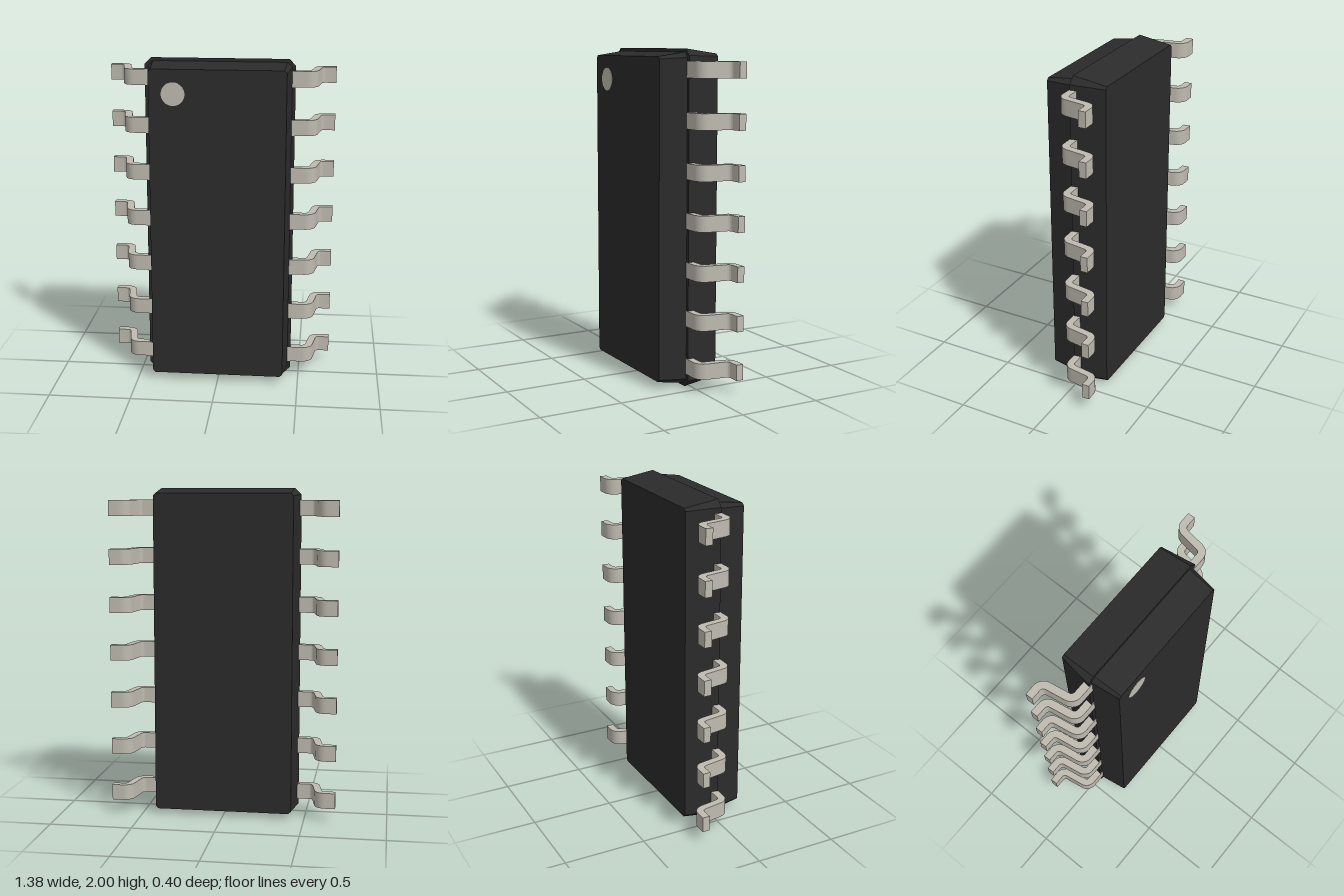
import * as THREE from 'three';
import { toCreasedNormals } from 'three/addons/utils/BufferGeometryUtils.js';

// Rectangle with clipped corners, counter-clockwise seen from +z
function clippedRect(hx, hy, c, z) {
  return [
    [hx, -hy + c], [hx, hy - c], [hx - c, hy], [-hx + c, hy],
    [-hx, hy - c], [-hx, -hy + c], [-hx + c, -hy], [hx - c, -hy],
  ].map(([x, y]) => new THREE.Vector3(x, y + 1, z));
}

// Closed, flat-shaded solid through rings ordered from back to front
function loft(rings) {
  const points = [];
  const n = rings[0].length;
  for (let r = 0; r < rings.length - 1; r++) {
    const lo = rings[r], hi = rings[r + 1];
    for (let i = 0; i < n; i++) {
      const j = (i + 1) % n;
      points.push(lo[i], lo[j], hi[j], lo[i], hi[j], hi[i]);
    }
  }
  const back = rings[0], front = rings[rings.length - 1];
  for (let i = 1; i < n - 1; i++) {
    points.push(back[0], back[i + 1], back[i], front[0], front[i], front[i + 1]);
  }
  const geometry = new THREE.BufferGeometry().setFromPoints(points);
  geometry.computeVertexNormals();
  return geometry;
}

// Bent strip: centre line in the x-z plane with rounded corners, thickened and extruded
function leadGeometry(thickness, width) {
  const path = [[0.4, 0.012], [0.557, 0.012], [0.589, -0.18], [0.69, -0.18]]
    .map(([x, z]) => new THREE.Vector2(x, z));
  const dirs = [0, 1, 2].map((i) => path[i + 1].clone().sub(path[i]).normalize());
  const radius = 0.045, steps = 8;
  const sideA = [], sideB = [];
  const addPoint = (p, d) => {
    const normal = new THREE.Vector2(-d.y, d.x).multiplyScalar(thickness / 2);
    sideA.push(p.clone().add(normal));
    sideB.unshift(p.clone().sub(normal));
  };
  addPoint(path[0], dirs[0]);
  for (const k of [1, 2]) {
    const a0 = dirs[k - 1].angle();
    let turn = dirs[k].angle() - a0;
    if (turn > Math.PI) turn -= 2 * Math.PI;
    if (turn < -Math.PI) turn += 2 * Math.PI;
    const s = Math.sign(turn);
    const start = path[k].clone().addScaledVector(dirs[k - 1], -radius * Math.tan(Math.abs(turn) / 2));
    const centre = start.clone().add(
      new THREE.Vector2(-Math.sin(a0), Math.cos(a0)).multiplyScalar(s * radius));
    for (let i = 0; i <= steps; i++) {
      const a = a0 + (turn * i) / steps;
      const p = new THREE.Vector2(Math.sin(a), -Math.cos(a)).multiplyScalar(s * radius).add(centre);
      addPoint(p, new THREE.Vector2(Math.cos(a), Math.sin(a)));
    }
  }
  addPoint(path[3], dirs[2]);
  const geometry = new THREE.ExtrudeGeometry(new THREE.Shape([...sideA, ...sideB]), {
    depth: width, bevelEnabled: false,
  });
  geometry.translate(0, 0, -width / 2).rotateX(Math.PI / 2);
  return toCreasedNormals(geometry, 0.6);
}

export function createModel() {
  const model = new THREE.Group();
  model.name = 'chipPackage';

  const plastic = new THREE.MeshStandardMaterial({ color: 0x2b2b2b });
  plastic.name = 'black plastic';
  const metal = new THREE.MeshStandardMaterial({ color: 0xbfbbb0 });
  metal.name = 'pale metal';

  // Moulded body: wider back half, small step, narrower front half
  const body = new THREE.Mesh(loft([
    clippedRect(0.42, 0.97, 0.015, -0.18),
    clippedRect(0.45, 1.0, 0.04, 0.03),
    clippedRect(0.43, 0.98, 0.03, 0.03),
    clippedRect(0.405, 0.955, 0.015, 0.2),
  ]), plastic);
  body.name = 'body';
  model.add(body);

  // Round marker for the first pin
  const marker = new THREE.Mesh(new THREE.CylinderGeometry(0.07, 0.07, 0.004, 40), metal);
  marker.name = 'pinOneMarker';
  marker.rotation.x = Math.PI / 2;
  marker.position.set(-0.26, 1.81, 0.2);
  model.add(marker);

  // Seven leads on each side; the right row is turned half round
  const geometry = leadGeometry(0.045, 0.095);
  for (const side of ['left', 'right']) {
    const row = new THREE.Group();
    row.name = side + 'Leads';
    for (let i = 0; i < 7; i++) {
      const lead = new THREE.Mesh(geometry, metal);
      lead.name = side + 'Lead' + (i + 1);
      lead.position.y = 1.005 + (i - 3) * 0.292;
      if (side === 'right') lead.rotation.z = Math.PI;
      row.add(lead);
    }
    model.add(row);
  }
  return model;
}
